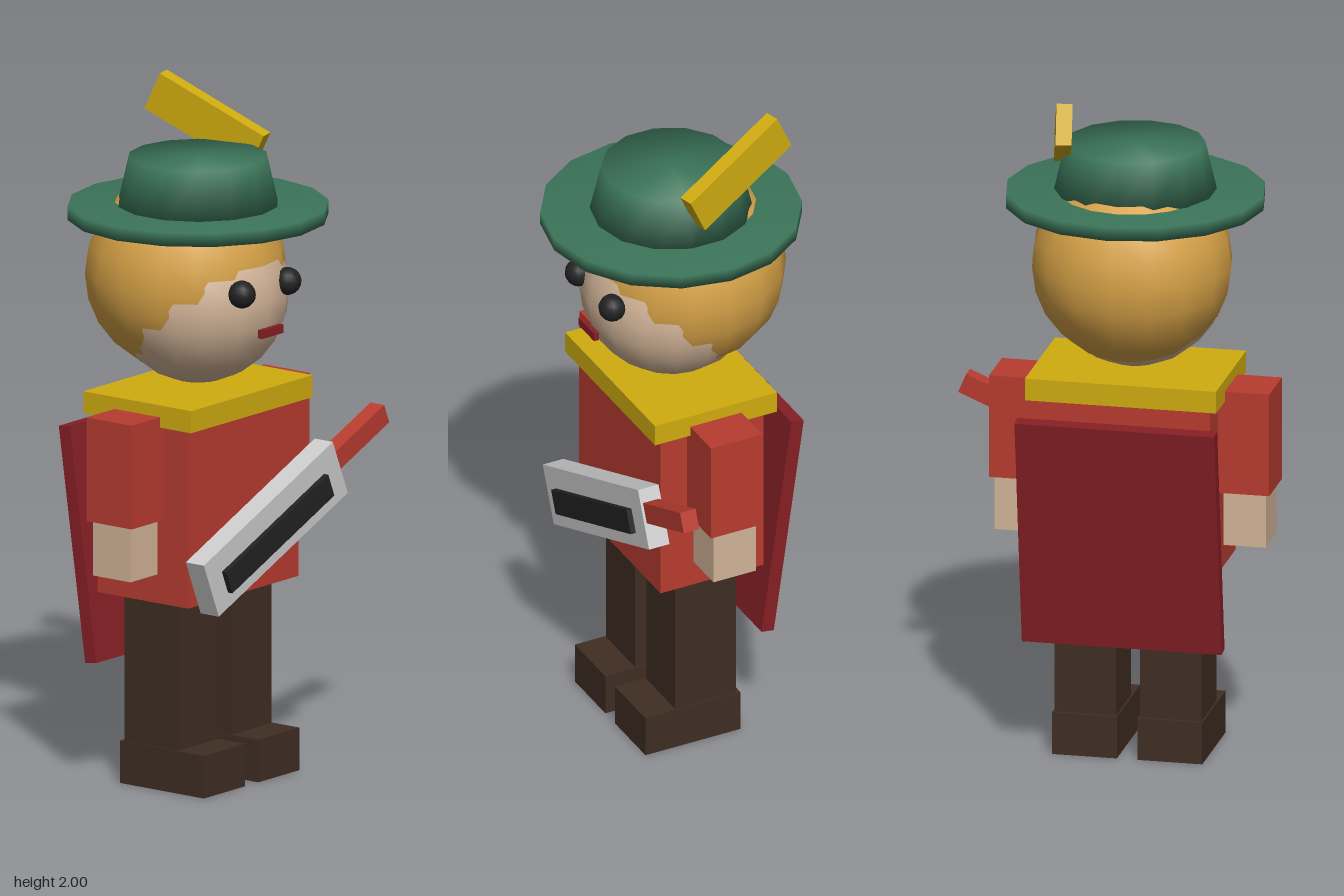
import * as THREE from 'three';
import { mergeVertices } from 'three/addons/utils/BufferGeometryUtils.js';

const CX = -0.077; // centre line of the figure

export function createModel() {
  const model = new THREE.Group();
  model.name = 'minstrel';

  const paint = (name, color) => {
    const m = new THREE.MeshStandardMaterial({ color });
    m.name = name;
    return m;
  };
  const red = paint('tunic red', 0xb83c30);
  const gold = paint('gold', 0xd0ac10);
  const skin = paint('skin', 0xd2b498);
  const green = paint('felt green', 0x3b7459);
  const blond = paint('blond hair', 0xd4a046);
  const brown = paint('dark brown', 0x3f2d23);
  const wine = paint('wine red', 0x861f24);
  const black = paint('black', 0x222222);
  const silver = paint('light grey', 0xcccccc);

  const add = (name, geometry, material, x, y, z, parent = model) => {
    const mesh = new THREE.Mesh(geometry, material);
    mesh.name = name;
    mesh.position.set(x, y, z);
    parent.add(mesh);
    return mesh;
  };
  const box = (name, material, w, h, d, x, y, z, parent) =>
    add(name, new THREE.BoxGeometry(w, h, d), material, x, y, z, parent);

  // Weld a geometry so its normals run smoothly over every edge
  const smooth = (g) => {
    g.deleteAttribute('uv');
    g.deleteAttribute('normal');
    const welded = mergeVertices(g, 1e-4);
    welded.computeVertexNormals();
    return welded;
  };

  // Legs, boots, arms, hands and eyes, mirrored about the centre line
  for (const [side, s] of [['left', 1], ['right', -1]]) {
    box(side + 'Leg', brown, 0.18, 0.45, 0.195, CX + s * 0.125, 0.345, 0);
    box(side + 'Boot', brown, 0.19, 0.125, 0.305, CX + s * 0.125, 0.0625, 0.043);
    box(side + 'Arm', red, 0.15, 0.305, 0.165, CX + s * 0.335, 0.9625, 0);
    box(side + 'Hand', skin, 0.125, 0.165, 0.137, CX + s * 0.335, 0.7325, 0);
    const eye = add(side + 'Eye', new THREE.SphereGeometry(0.04, 14, 10), black, CX + s * 0.105, 1.467, 0.243);
    eye.rotation.y = 0.1 * s;
  }

  // Torso and collar
  box('torso', red, 0.51, 0.53, 0.33, CX, 0.825, 0);
  box('collar', gold, 0.56, 0.065, 0.392, CX, 1.1175, 0);

  // Cape leaning away from the back
  const cape = box('cape', wine, 0.585, 0.69, 0.04, CX, 0.7, -0.208);
  cape.rotation.x = -0.14;

  // Head, with a larger hair ball set back and up
  add('head', new THREE.SphereGeometry(0.263, 16, 12), skin, CX, 1.422, 0);
  add('hair', new THREE.SphereGeometry(0.29, 16, 12), blond, CX, 1.474, -0.045);
  box('mouth', wine, 0.098, 0.025, 0.015, CX, 1.342, 0.265);

  // Hat
  add('hatBrim', smooth(new THREE.CylinderGeometry(0.375, 0.375, 0.04, 16)), green, CX, 1.66, 0);
  add('hatCrown', smooth(new THREE.CylinderGeometry(0.2, 0.235, 0.15, 14)), green, CX, 1.745, 0);
  const feather = box('feather', gold, 0.046, 0.12, 0.36, 0.109, 1.87, -0.113);
  feather.rotation.set(0.447, 0.213, -0.07);

  // Stringed instrument held across the waist
  const lute = new THREE.Group();
  lute.name = 'instrument';
  lute.position.set(-0.045, 0.753, 0.225);
  lute.rotation.z = 0.4;
  box('instrumentBody', silver, 0.645, 0.177, 0.066, 0, 0, 0, lute);
  box('instrumentPanel', black, 0.51, 0.072, 0.016, -0.004, -0.011, 0.041, lute);
  box('instrumentNeck', red, 0.3, 0.06, 0.05, 0.423, 0.018, 0, lute);
  model.add(lute);

  return model;
}
